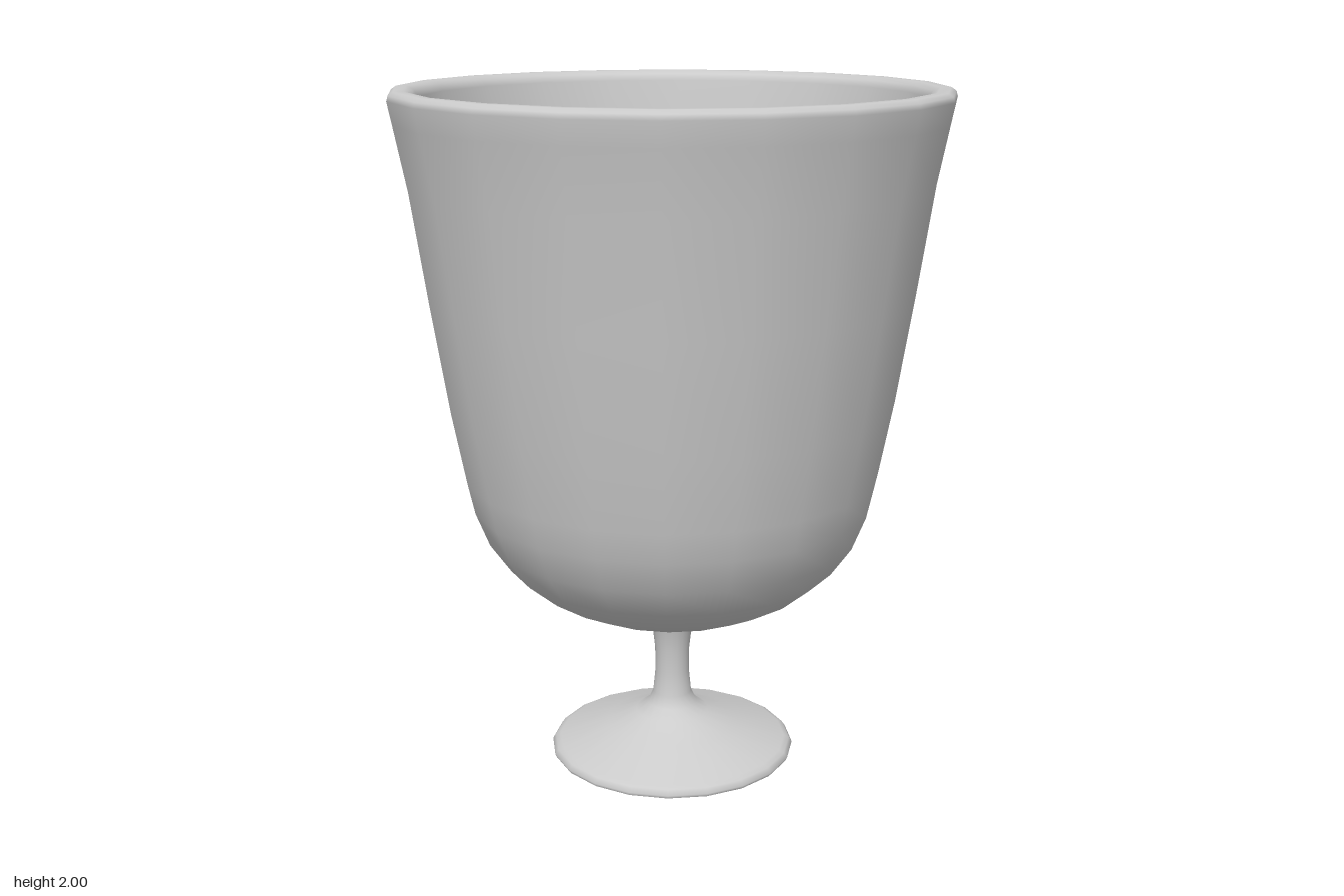
import * as THREE from 'three';

const SIDES = 20;
const material = new THREE.MeshStandardMaterial({ color: 0xcccccc });

// Turns a profile of [radius, height] pairs about the y axis
function turned(name, profile) {
  const points = profile.map(([r, y]) => new THREE.Vector2(r, y));
  const mesh = new THREE.Mesh(new THREE.LatheGeometry(points, SIDES), material);
  mesh.name = name;
  return mesh;
}

export function createModel() {
  const goblet = new THREE.Group();
  goblet.name = 'goblet';

  // Flat underside of the foot
  goblet.add(turned('footUnderside', [[0, 0], [0.365, 0]]));

  // Sloping foot flowing into the slim stem
  goblet.add(turned('footAndStem', [
    [0.365, 0], [0.37, 0.01], [0.36, 0.025], [0.345, 0.032],
    [0.2, 0.083], [0.11, 0.12], [0.075, 0.145], [0.058, 0.18],
    [0.051, 0.25], [0.052, 0.32], [0.06, 0.39], [0.075, 0.43], [0.1, 0.458],
  ]));

  // Outside of the bowl, rounded rim and inside in one shell
  goblet.add(turned('bowl', [
    [0.09, 0.457], [0.2, 0.465], [0.3, 0.49], [0.4, 0.54], [0.49, 0.615],
    [0.55, 0.7], [0.59, 0.8], [0.61, 0.89], [0.65, 1.1], [0.7, 1.42],
    [0.745, 1.73], [0.78, 1.91], [0.793, 1.975],
    [0.789, 1.99], [0.775, 2], [0.745, 2], [0.725, 1.99], [0.715, 1.97],
    [0.675, 1.74], [0.63, 1.42], [0.58, 1.1], [0.545, 0.9], [0.525, 0.82],
    [0.485, 0.73], [0.42, 0.65], [0.32, 0.585], [0.17, 0.54], [0, 0.53],
  ]));

  return goblet;
}
